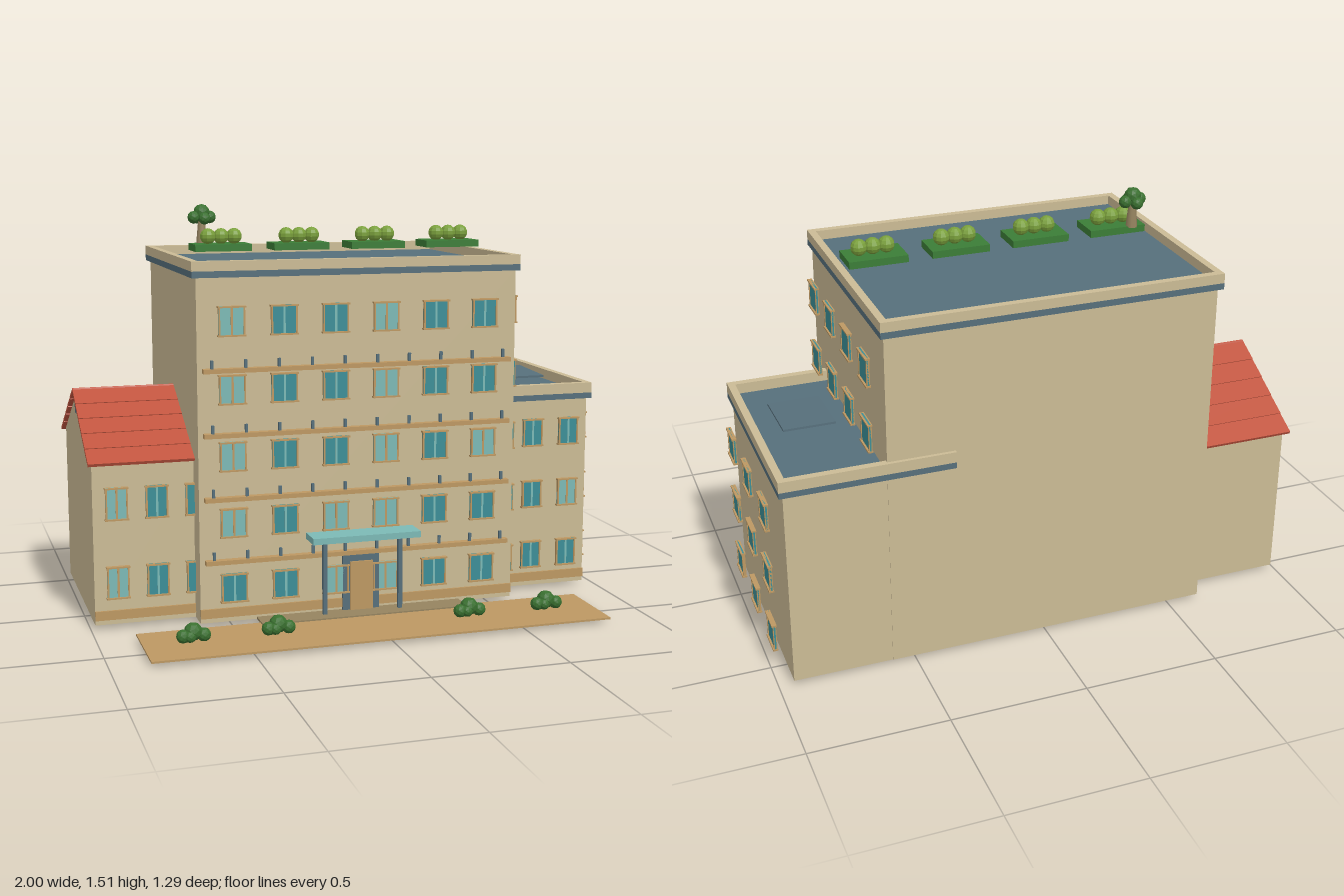
import * as THREE from 'three';

const mat = (name, color) => {
  const m = new THREE.MeshStandardMaterial({ color });
  m.name = name;
  return m;
};

export function createModel() {
  const model = new THREE.Group();
  model.name = 'apartmentBuilding';
  const wall = mat('beigeWall', 0xcbbb95);
  const slate = mat('slate', 0x566f7b);
  const red = mat('redTile', 0xc0543e);
  const tan = mat('tanTrim', 0xbd9862);
  const glass = mat('darkGlass', 0x3c8e97);
  const pale = mat('paleGlass', 0x7cb9b5);
  const hedge = mat('planterGreen', 0x3b7d37);
  const leaf = mat('leafGreen', 0x7aa03c);
  const bush = mat('bushGreen', 0x3a7030);
  const brown = mat('stoneBrown', 0x95835f);

  const add = (name, geo, m, x = 0, y = 0, z = 0, parent = model) => {
    const mesh = new THREE.Mesh(geo, m);
    mesh.name = name;
    mesh.position.set(x, y, z);
    parent.add(mesh);
    return mesh;
  };
  // box given by its limits
  const box = (name, m, x0, x1, y0, y1, z0, z1, parent = model) =>
    add(name, new THREE.BoxGeometry(x1 - x0, y1 - y0, z1 - z0), m,
      (x0 + x1) / 2, (y0 + y1) / 2, (z0 + z1) / 2, parent);
  const group = (name, x = 0, y = 0, z = 0) => {
    const g = new THREE.Group();
    g.name = name;
    g.position.set(x, y, z);
    model.add(g);
    return g;
  };
  const faceted = (geo) => {
    const g = geo.index ? geo.toNonIndexed() : geo;
    g.computeVertexNormals();
    return g;
  };

  // flat roof: slate slab whose edge shows as a band, with a parapet on top
  const flatRoof = (name, x0, x1, z0, z1, y0, y1, y2) => {
    const g = group(name);
    const t = 0.027;
    box('roofSlab', slate, x0, x1, y0, y1, z0, z1, g);
    box('parapetFront', wall, x0, x1, y1, y2, z1 - t, z1, g);
    box('parapetBack', wall, x0, x1, y1, y2, z0, z0 + t, g);
    box('parapetLeft', wall, x1 - t, x1, y1, y2, z0 + t, z1 - t, g);
    box('parapetRight', wall, x0, x0 + t, y1, y2, z0 + t, z1 - t, g);
  };

  // window facing +z, turned for the side walls
  const windowUnit = (x, y, z, w, h, light, side = false) => {
    const g = group('window', x, y, z);
    const t = 0.006;
    const d = 0.006;
    box('glass', light ? pale : glass, -w / 2, w / 2, -h / 2, h / 2, -0.003, 0.003, g);
    for (const s of [-1, 1]) {
      add('frameSide', new THREE.BoxGeometry(t, h, 2 * d), tan, s * (w / 2 - t / 2), 0, 0, g);
      add('frameRail', new THREE.BoxGeometry(w + 0.006, t, 0.018), tan, 0, s * (h / 2 - t / 2), 0.001, g);
    }
    if (side) g.rotation.y = Math.PI / 2;
    else add('mullion', new THREE.BoxGeometry(0.008, h - 2 * t, 0.009), light ? tan : pale, 0, 0, 0, g);
  };

  // main block and right-hand wing
  box('mainBlock', wall, -0.618, 0.587, 0.018, 1.27, -0.63, 0.274);
  flatRoof('mainRoof', -0.635, 0.6, -0.643, 0.288, 1.267, 1.29, 1.325);
  box('sideWing', wall, 0.36, 0.946, 0.018, 0.755, -0.628, 0.155);
  flatRoof('sideWingRoof', 0.345, 0.962, -0.643, 0.167, 0.753, 0.775, 0.814);
  const skylight = box('skylight', slate, 0.672, 0.86, 0.812, 0.82, -0.3, -0.06);
  skylight.rotation.x = 0.04;

  // tiled wing with a gable roof
  const eave = 0.62, ridge = 0.83, midZ = -0.18, half = 0.385;
  const gable = new THREE.Shape();
  gable.moveTo(-0.365, 0.018);
  gable.lineTo(0.365, 0.018);
  gable.lineTo(0.365, eave);
  gable.lineTo(0, ridge - 0.02);
  gable.lineTo(-0.365, eave);
  const gableGeo = new THREE.ExtrudeGeometry(gable, { depth: 0.4, bevelEnabled: false });
  gableGeo.rotateY(-Math.PI / 2);
  add('gableWing', gableGeo, wall, -0.585, 0, midZ);
  const rows = 5;
  const drop = ridge - eave;
  const len = Math.hypot(half, drop) / rows;
  for (const s of [-1, 1]) {
    for (let i = 0; i < rows; i++) {
      const f = (i + 0.5) / rows;
      const row = add('tileRow', new THREE.BoxGeometry(0.39, 0.012, len + 0.012), red,
        -0.805, ridge - 0.008 - drop * f, midZ + s * half * f);
      row.rotation.x = s * (Math.atan2(drop, half) - 0.035);
    }
  }
  box('gableVent', slate, -0.99, -0.984, 0.735, 0.765, midZ - 0.02, midZ + 0.02);

  // plinth strips along the fronts
  box('plinthMain', tan, -0.618, 0.587, 0.036, 0.07, 0.274, 0.282);
  box('plinthSideWing', tan, 0.587, 0.946, 0.036, 0.07, 0.155, 0.163);
  box('plinthGableWing', tan, -0.985, -0.618, 0.036, 0.07, 0.185, 0.193);

  // windows
  const floors = [0.146, 0.387, 0.629, 0.87, 1.113];
  const lit = ['001100', '101100', '100101', '100100', '100100'];
  floors.forEach((y, r) => {
    for (let c = 0; c < 6; c++) {
      windowUnit(-0.494 + c * 0.191, y, 0.287, 0.096, 0.108, lit[r][c] === '1');
    }
    for (let c = 0; c < 4; c++) {
      if (c === 0 || r > 2) windowUnit(0.62, y, 0.15 - c * 0.218, 0.098, 0.105, false, true);
    }
    if (r > 2) return;
    for (let c = 0; c < 3; c++) {
      windowUnit(0.985, y, 0.015 - c * 0.251, 0.098, 0.105, false, true);
      windowUnit(0.568 + c * 0.149, y, 0.167, 0.08, 0.108, c === 2 && r === 1);
    }
  });
  for (const y of [0.174, 0.463]) {
    for (let c = 0; c < 3; c++) windowUnit(-0.9 + c * 0.145, y, 0.195, 0.08, 0.12, c === 0);
  }

  // ledges with short railing posts
  for (const y of [0.245, 0.475, 0.707, 0.939]) {
    box('ledge', tan, -0.6, 0.562, y - 0.008, y + 0.008, 0.27, 0.302);
    for (let i = 0; i < 10; i++) {
      const x = -0.568 + i * 0.1225;
      box('railingPost', slate, x - 0.005, x + 0.005, y, y + 0.038, 0.285, 0.295);
    }
  }

  // entrance: framed door, step, canopy
  box('doorFrame', slate, -0.086, 0.054, 0.02, 0.236, 0.27, 0.29);
  box('door', tan, -0.06, 0.028, 0.022, 0.21, 0.288, 0.297);
  box('doorStep', tan, -0.096, 0.064, 0, 0.022, 0.27, 0.325);
  box('canopy', pale, -0.222, 0.188, 0.304, 0.327, 0.272, 0.373);
  for (const x of [-0.163, 0.126]) {
    box('canopyPost', slate, x - 0.008, x + 0.008, 0.02, 0.305, 0.307, 0.323);
  }
  box('terrace', brown, -0.41, 0.375, 0.018, 0.026, 0.27, 0.368);
  box('forecourt', tan, -0.862, 0.828, 0.014, 0.021, 0.331, 0.643);

  // low bushes on the forecourt
  for (const x of [-0.687, -0.383, 0.337, 0.642]) {
    const g = group('bush', x, 0.02, 0.48);
    for (const [dx, y, dz, r] of [[0, 0.04, 0, 0.033], [-0.037, 0.028, 0.008, 0.025],
      [0.037, 0.028, 0.006, 0.025], [0.012, 0.032, -0.015, 0.024], [-0.014, 0.028, 0.018, 0.022]]) {
      add('bushClump', faceted(new THREE.IcosahedronGeometry(r, 1)), bush, dx, y, dz, g);
    }
  }

  // roof planters with round shrubs
  for (let i = 0; i < 4; i++) {
    const g = group('planter', -0.443 + i * 0.302, 1.335, -0.12);
    box('planterBox', hedge, -0.107, 0.107, 0, 0.026, -0.064, 0.064, g);
    for (const dx of [-0.046, 0.004, 0.054]) {
      add('shrub', faceted(new THREE.SphereGeometry(0.03, 10, 7)), leaf, dx, 0.053, 0, g);
    }
  }

  // small tree on the first planter
  const tree = group('tree', -0.5, 1.36, -0.175);
  add('trunk', new THREE.CylinderGeometry(0.013, 0.022, 0.09, 7), brown, 0, 0.042, 0, tree);
  for (const [x, y, z, r] of [[0, 0.115, 0, 0.031], [-0.032, 0.097, 0.01, 0.024],
    [0.032, 0.097, -0.008, 0.024], [0.005, 0.093, 0.028, 0.023], [-0.005, 0.093, -0.028, 0.023]]) {
    add('crownClump', faceted(new THREE.IcosahedronGeometry(r, 1)), bush, x, y, z, tree);
  }
  return model;
}
